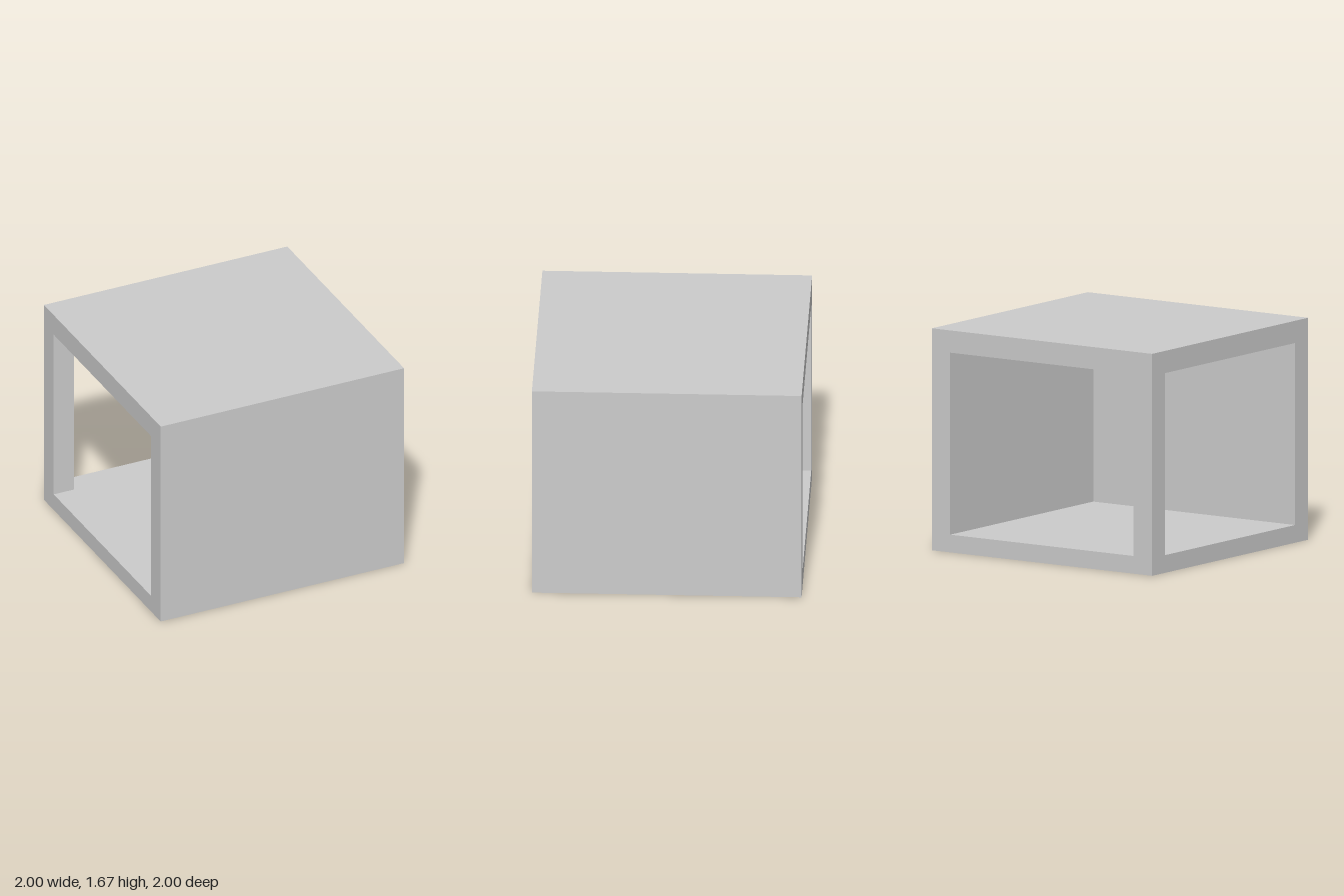
import * as THREE from 'three';

const H = 1.667;          // overall height
const T = 0.167;          // wall, post and roof thickness
const FLOOR = 0.133;      // floor thickness
const IN = 1 - T;         // inner face of walls and post
const CLEAR = H - T - FLOOR;
const MID = FLOOR + CLEAR / 2;
const Q = Math.PI / 2;

const material = new THREE.MeshStandardMaterial({ color: 0xcccccc, flatShading: true });

const polygon = (points) => new THREE.Shape(points.map(([x, y]) => new THREE.Vector2(x, y)));

// Rectangle centred on cx, standing between y0 and y1
const rect = (w, y0, y1) => polygon([[-w / 2, y0], [w / 2, y0], [w / 2, y1], [-w / 2, y1]]);

export function createModel() {
  const model = new THREE.Group();

  // One flat face, turned about x and y and then moved into place
  function face(parent, name, shape, position, rx = 0, ry = 0) {
    const geometry = new THREE.ShapeGeometry(shape).rotateX(rx).rotateY(ry).translate(...position);
    const mesh = new THREE.Mesh(geometry, material);
    mesh.name = name;
    parent.add(mesh);
  }

  function part(name) {
    const group = new THREE.Group();
    group.name = name;
    model.add(group);
    return group;
  }

  // Plan of the room: a square with the corner post cut out
  const plan = (s) => polygon([
    [IN, s * IN], [IN, -s], [-IN, -s], [-IN, -s * IN], [-1, -s * IN], [-1, s * IN],
  ]);
  const square = rect(2, -1, 1);

  // Floor and roof slabs
  const floor = part('floor');
  face(floor, 'floorUnderside', square, [0, 0, 0], Q);
  face(floor, 'floorTop', plan(-1), [0, FLOOR, 0], -Q);
  const roof = part('roof');
  face(roof, 'roofTop', square, [0, H, 0], -Q);
  face(roof, 'ceiling', plan(1), [0, H - T, 0], Q);

  // Two solid walls, outside and inside
  const outer = rect(2, 0, H);
  const inner = rect(1 + IN, FLOOR, H - T);
  const front = part('frontWall');
  face(front, 'frontOutside', outer, [0, 0, 1]);
  face(front, 'frontInside', inner, [-T / 2, 0, IN], 0, Math.PI);
  const side = part('sideWall');
  face(side, 'sideOutside', outer, [1, 0, 0], 0, Q);
  face(side, 'sideInside', inner, [IN, 0, -T / 2], 0, -Q);

  // Two open sides, each a frame around a large opening
  const frame = rect(2, 0, H);
  frame.holes.push(rect(2 * IN, FLOOR, H - T));
  face(model, 'backFrame', frame, [0, 0, -1], 0, Math.PI);
  face(model, 'openSideFrame', frame, [-1, 0, 0], 0, -Q);

  // Inner faces of the corner post between the openings
  const post = part('cornerPost');
  const strip = rect(T, -CLEAR / 2, CLEAR / 2);
  face(post, 'postSide', strip, [-IN, MID, -1 + T / 2], 0, Q);
  face(post, 'postFront', strip, [-1 + T / 2, MID, -IN]);

  return model;
}
